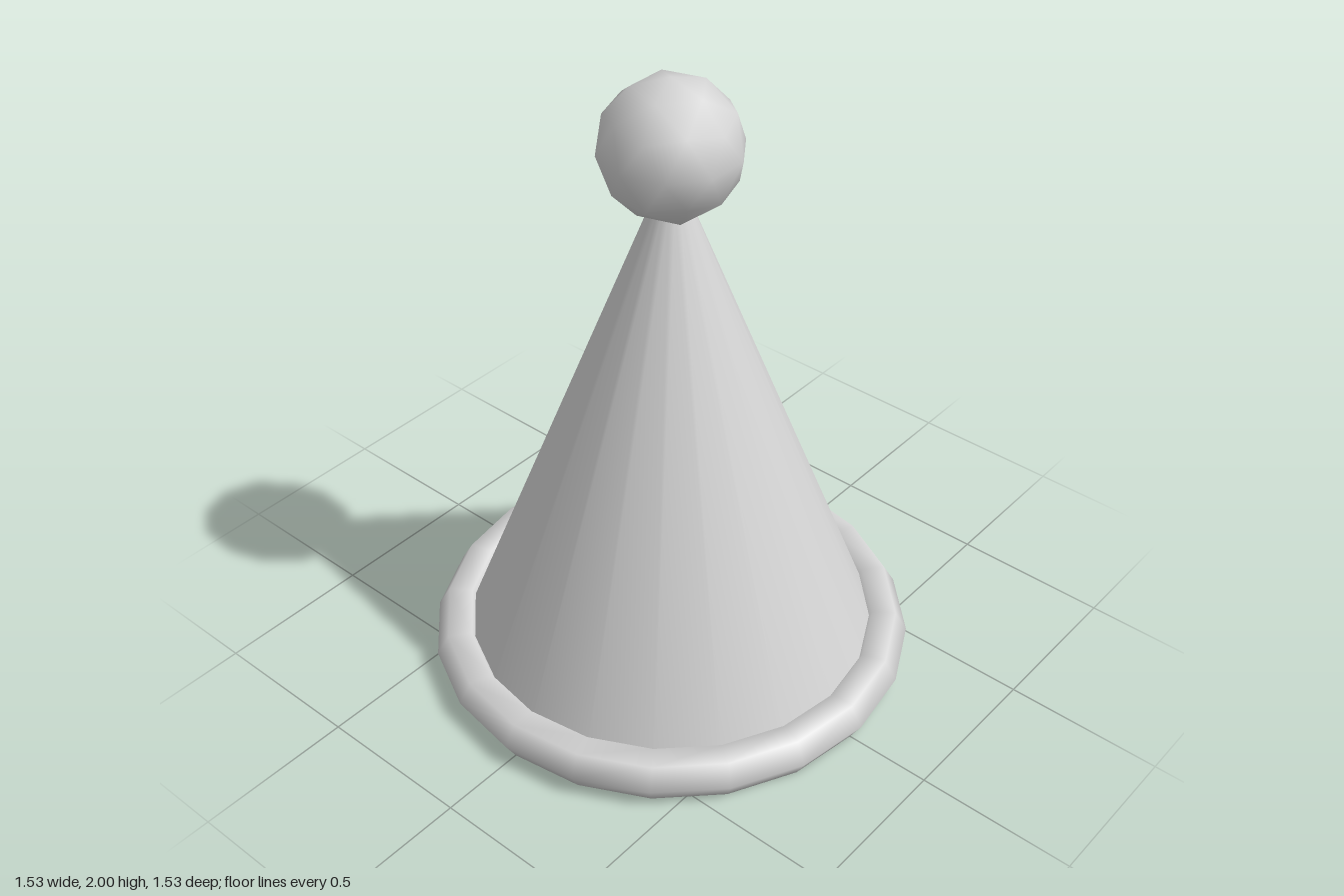
import * as THREE from 'three';

export function createModel() {
  const model = new THREE.Group();
  model.name = 'partyHat';
  const grey = new THREE.MeshStandardMaterial({ color: 0xd4d4d4 });
  grey.name = 'light grey';

  const add = (name, geometry, y) => {
    const mesh = new THREE.Mesh(geometry, grey);
    mesh.name = name;
    mesh.position.y = y;
    model.add(mesh);
  };

  // Hat cone, closed just above the ground, its narrow tip hidden in the pompom
  const base = 0.01, tip = 1.63;
  add('cone', new THREE.CylinderGeometry(0.05, 0.682, tip - base, 20), (base + tip) / 2);

  // Rolled brim: a six-sided ring lying flat
  add('brim', new THREE.TorusGeometry(0.688, 0.0755, 6, 20).rotateX(Math.PI / 2), 0.0655);

  // Pompom: icosphere turned so that one of its corners points straight up
  const tilt = Math.atan(2 / (1 + Math.sqrt(5)));
  add('pompom', new THREE.IcosahedronGeometry(0.212, 1).rotateZ(-tilt), 1.788);

  return model;
}
